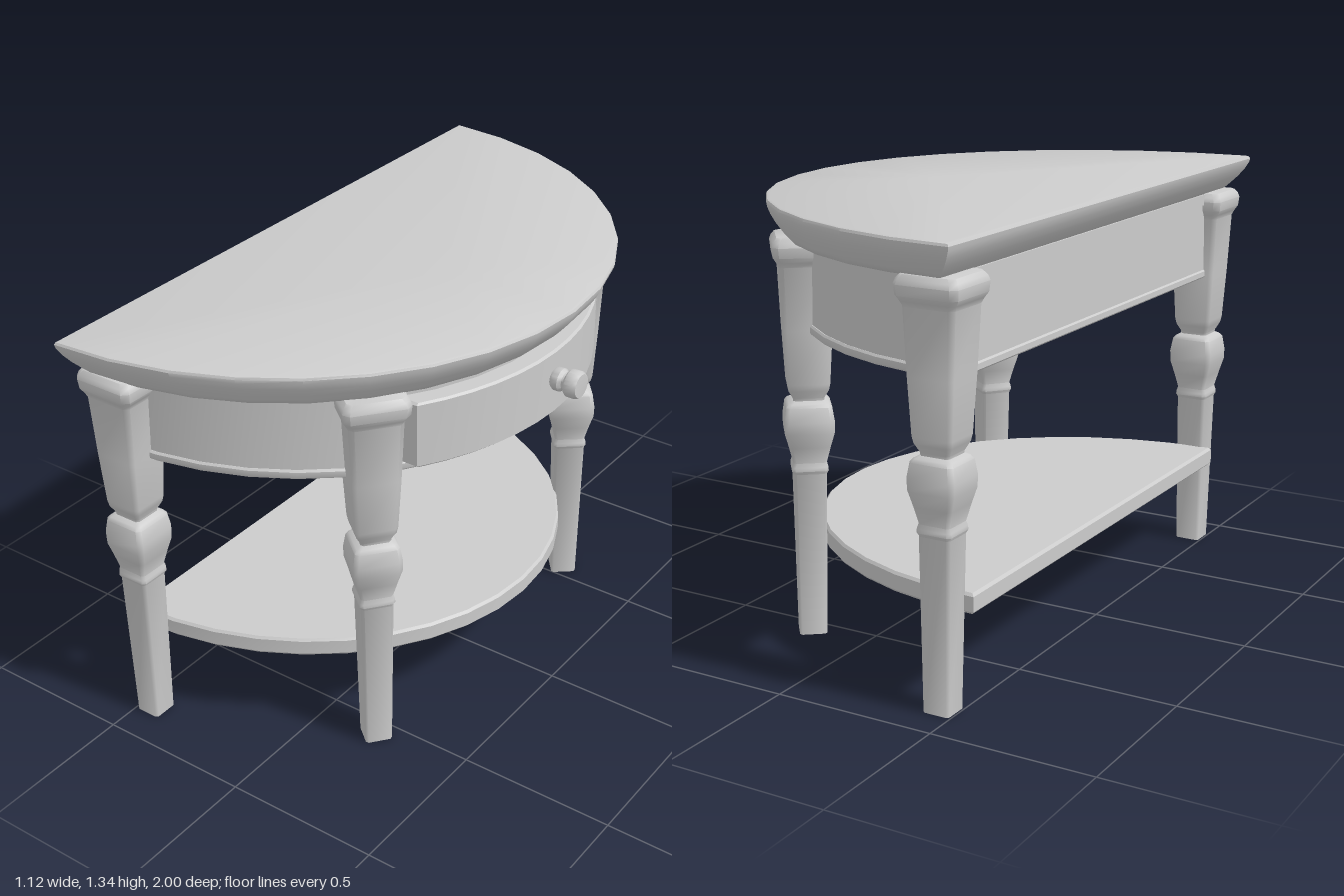
import * as THREE from 'three';
import { toCreasedNormals } from 'three/addons/utils/BufferGeometryUtils.js';

const material = new THREE.MeshStandardMaterial({ color: 0xcccccc });

// Skin convex rings of [x, y, z] points, counterclockwise from above, listed bottom to top.
function loft(rings, crease) {
  const n = rings[0].length;
  const pos = rings.flat(2);
  const index = [];
  for (let r = 0; r < rings.length - 1; r++) {
    for (let i = 0; i < n; i++) {
      const a = r * n + i, b = r * n + (i + 1) % n;
      index.push(a, b, b + n, a, b + n, a + n);
    }
  }
  // flat caps fanned from the middle of the end rings
  [[0, rings[0]], [(rings.length - 1) * n, rings[rings.length - 1]]].forEach(([start, ring], top) => {
    const c = pos.length / 3;
    for (let k = 0; k < 3; k++) pos.push(ring.reduce((s, p) => s + p[k], 0) / n);
    for (let i = 0; i < n; i++) {
      const a = start + i, b = start + (i + 1) % n;
      if (top) index.push(c, a, b);
      else index.push(c, b, a);
    }
  });
  const g = new THREE.BufferGeometry();
  g.setAttribute('position', new THREE.Float32BufferAttribute(pos, 3));
  g.setIndex(index);
  return toCreasedNormals(g, crease);
}

// Half-ellipse slab with its flat side at x0; profile holds [y, inset] pairs.
function halfRound(x0, rx, rz, profile, segments = 20) {
  return loft(profile.map(([y, d]) => {
    const ring = [];
    for (let i = 0; i <= segments; i++) {
      const t = Math.PI * i / segments;
      ring.push([x0 + d + (rx - 2 * d) * Math.sin(t), y, (rz - d) * Math.cos(t)]);
    }
    return ring;
  }), 0.6);
}

// Turned leg with a chamfered square section
function legGeometry() {
  const profile = [
    [0, 0.042], [0.515, 0.05], [0.525, 0.055], [0.537, 0.054], [0.55, 0.05], [0.6, 0.062],
    [0.645, 0.074], [0.68, 0.075], [0.725, 0.068], [0.735, 0.06], [0.742, 0.046], [0.75, 0.047],
    [0.775, 0.06], [0.795, 0.064], [0.96, 0.073], [1.15, 0.081], [1.165, 0.088],
    [1.18, 0.097], [1.21, 0.1], [1.225, 0.095], [1.237, 0.085],
  ];
  const k = 0.82;
  const corners = [[1, k], [1, -k], [k, -1], [-k, -1], [-1, -k], [-1, k], [-k, 1], [k, 1]];
  return loft(profile.map(([y, h]) => corners.map(([x, z]) => [x * h, y, z * h])), 0.85);
}

// Bowed drawer front, solid back to a straight chord
function drawerGeometry() {
  const rx = 0.963, rz = 0.91, half = 0.49, segments = 12;
  const profile = [[0.98, 0.008], [0.986, 0], [1.184, 0], [1.19, 0.008]];
  return loft(profile.map(([y, d]) => {
    const ring = [];
    const end = Math.asin((half - d) / rz);
    for (let i = 0; i <= segments; i++) {
      const t = end * (1 - 2 * i / segments);
      ring.push([-0.5 + (rx - d) * Math.cos(t), y, rz * Math.sin(t)]);
    }
    ring.push([0.2, y, -half + d], [0.2, y, half - d]);
    return ring;
  }), 0.6);
}

export function createModel() {
  const group = new THREE.Group();
  const add = (name, geometry) => {
    const mesh = new THREE.Mesh(geometry, material);
    mesh.name = name;
    group.add(mesh);
    return mesh;
  };

  // Half-round top with a flared, rounded rim
  add('tableTop', halfRound(-0.56, 1.08, 1, [
    [1.232, 0.075], [1.235, 0.066], [1.25, 0.052], [1.275, 0.03], [1.3, 0.013],
    [1.32, 0.003], [1.333, 0], [1.34, 0.004], [1.343, 0.012],
  ], 18));

  // Apron with a slim band above and below
  add('apron', halfRound(-0.495, 0.9, 0.853, [[0.96, 0], [1.235, 0]]));
  add('apronUpperBand', halfRound(-0.5, 0.915, 0.86, [[1.2, 0], [1.235, 0]]));
  add('apronLowerBand', halfRound(-0.5, 0.915, 0.86, [[0.95, 0.004], [0.955, 0], [0.972, 0], [0.978, 0.006]]));

  // Lower shelf with a softened edge
  add('shelf', halfRound(-0.53, 0.91, 0.82, [
    [0.284, 0.008], [0.292, 0], [0.337, 0], [0.345, 0.008],
  ]));

  // Legs; the front pair turns to follow the curve
  const leg = legGeometry();
  for (const side of [1, -1]) {
    const name = side > 0 ? 'Left' : 'Right';
    add('backLeg' + name, leg).position.set(-0.452, 0, side * 0.853);
    const front = add('frontLeg' + name, leg);
    front.position.set(0.198, 0, side * 0.555);
    front.rotation.y = -side * 0.68;
  }

  // Drawer and its knob
  add('drawerFront', drawerGeometry());
  const knobProfile = [
    [0.028, 0], [0.036, 0.012], [0.036, 0.03], [0.027, 0.04], [0.027, 0.046],
    [0.038, 0.052], [0.043, 0.058], [0.043, 0.085], [0.037, 0.095], [0, 0.097],
  ].map(([r, y]) => new THREE.Vector2(r, y));
  const knob = add('drawerKnob', toCreasedNormals(new THREE.LatheGeometry(knobProfile, 20), 0.7));
  knob.rotation.z = -Math.PI / 2;
  knob.position.set(0.459, 1.1, 0);

  return group;
}
